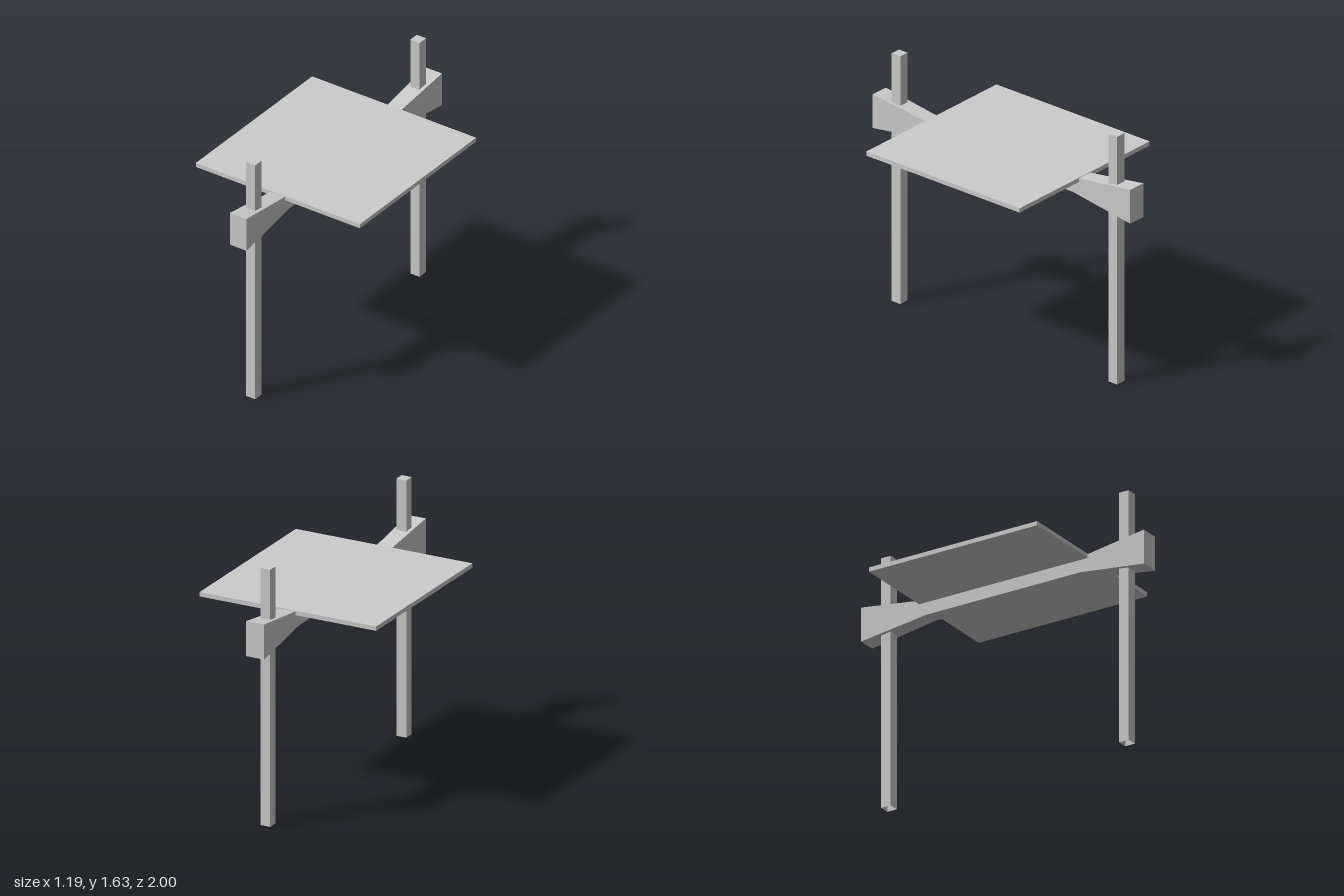
import * as THREE from 'three';

const material = new THREE.MeshStandardMaterial({ color: 0xcccccc, flatShading: true, side: THREE.DoubleSide });

function addPart(group, name, geometry, x, y, z) {
  const mesh = new THREE.Mesh(geometry, material);
  mesh.name = name;
  mesh.position.set(x, y, z);
  group.add(mesh);
  return mesh;
}

// Square post with an open lower end
function postGeometry(width, height) {
  const geometry = new THREE.BoxGeometry(width, height, width);
  const index = Array.from(geometry.index.array);
  index.splice(18, 6); // bottom face
  geometry.setIndex(index);
  geometry.clearGroups();
  return geometry;
}

// Straight beam whose two ends flare in height and width
function beamGeometry() {
  const geometry = new THREE.BoxGeometry(1, 1, 2, 1, 1, 3);
  const p = geometry.attributes.position;
  for (let i = 0; i < p.count; i++) {
    const z = p.getZ(i);
    const atEnd = Math.abs(z) > 0.9;
    const halfWidth = atEnd ? 0.06 : 0.05;
    const y = p.getY(i) > 0 ? (atEnd ? 1.33 : 1.269) : (atEnd ? 1.108 : 1.171);
    p.setXYZ(i, Math.sign(p.getX(i)) * halfWidth, y, Math.sign(z) * (atEnd ? 1 : 0.545));
  }
  geometry.computeVertexNormals();
  return geometry;
}

export function createModel() {
  const group = new THREE.Group();
  group.name = 'postTable';

  // Flat square top
  addPart(group, 'tabletop', new THREE.BoxGeometry(1.19, 0.028, 1.19), 0, 1.266, 0);

  // Supporting beam
  addPart(group, 'beam', beamGeometry(), 0, 0, 0);

  // Front and back posts
  for (const side of [1, -1]) {
    addPart(group, side > 0 ? 'frontPost' : 'backPost', postGeometry(0.067, 1.63), 0, 0.815, side * 0.841);
  }
  return group;
}
